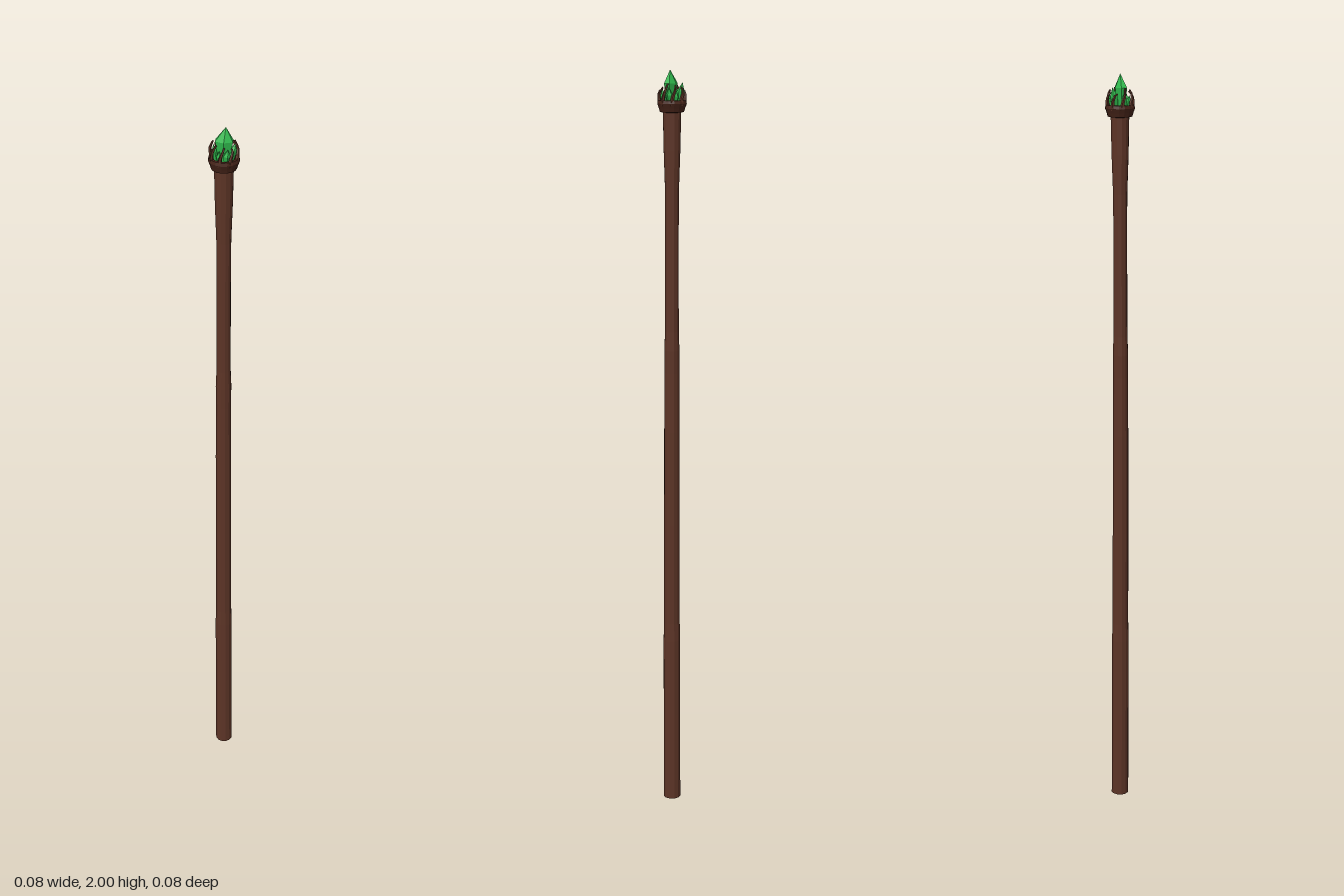
import * as THREE from 'three';

const mat = (color, side = THREE.FrontSide) => new THREE.MeshStandardMaterial({ color, flatShading: true, side });
const bark = mat(0x5c3426);
const darkBark = mat(0x452318, THREE.DoubleSide);
const gem = mat(0x2fb84c);

function add(parent, name, geometry, material) {
  const mesh = new THREE.Mesh(geometry, material);
  mesh.name = name;
  parent.add(mesh);
  return mesh;
}

const lathe = (pts, sides) => new THREE.LatheGeometry(pts.map(([r, y]) => new THREE.Vector2(r, y)), sides);

// Tube narrowing towards its end
function taperedTube(points, r0, r1, steps, sides) {
  const curve = new THREE.CatmullRomCurve3(points);
  const geo = new THREE.TubeGeometry(curve, steps, 1, sides);
  const pos = geo.attributes.position;
  const v = new THREE.Vector3();
  for (let i = 0; i <= steps; i++) {
    const c = curve.getPointAt(i / steps);
    const r = THREE.MathUtils.lerp(r0, r1, i / steps);
    for (let j = 0; j <= sides; j++) {
      const k = i * (sides + 1) + j;
      v.fromBufferAttribute(pos, k).sub(c).multiplyScalar(r).add(c);
      pos.setXYZ(k, v.x, v.y, v.z);
    }
  }
  geo.computeVertexNormals();
  return geo;
}

// Faceted shard standing on its base, with an off-centre point
function shard(radius, height, sides, lean) {
  const geo = lathe([[0, 0], [radius * 0.6, 0], [radius, height * 0.62], [0, height]], sides);
  const pos = geo.attributes.position;
  for (let i = 0; i < pos.count; i++) {
    if (pos.getY(i) > height * 0.9) pos.setX(i, lean);
  }
  geo.computeVertexNormals();
  return geo;
}

export function createModel() {
  const staff = new THREE.Group();
  staff.name = 'staff';

  // Shaft: slightly uneven wood, flaring under the head
  const shaft = lathe([
    [0, 0], [0.024, 0], [0.0235, 0.25], [0.0235, 0.47], [0.022, 0.52], [0.0215, 0.8], [0.021, 1.06],
    [0.02, 1.22], [0.0205, 1.28], [0.0185, 1.33], [0.018, 1.6], [0.0185, 1.7], [0.022, 1.8], [0.024, 1.9],
  ], 12);
  const pos = shaft.attributes.position;
  for (let i = 0; i < pos.count; i++) {
    const y = pos.getY(i);
    const bend = Math.sin(y * Math.PI / 1.9) * 0.0015;
    pos.setX(i, pos.getX(i) - bend);
    pos.setZ(i, pos.getZ(i) + bend * 0.5);
  }
  shaft.computeVertexNormals();
  add(staff, 'shaft', shaft, bark);

  // Head: open cup holding the crystals
  const head = new THREE.Group();
  head.name = 'head';
  staff.add(head);
  add(head, 'cup', lathe([
    [0.02, 1.893], [0.031, 1.895], [0.034, 1.905], [0.038, 1.916], [0.036, 1.924],
    [0.029, 1.924], [0.026, 1.912], [0, 1.91],
  ], 16), darkBark);

  // Claws curling up and inward around the rim
  const clawCount = 8;
  for (let i = 0; i < clawCount; i++) {
    const a = i / clawCount * Math.PI * 2 + 0.2;
    const top = 1.952 + 0.014 * ((i * 3) % 4) / 3;
    const at = (r, y, turn) => new THREE.Vector3(Math.sin(a + turn) * r, y, Math.cos(a + turn) * r);
    const claw = [at(0.031, 1.912, 0), at(0.033, 1.932, 0.1), at(0.033, 1.946, 0.25), at(0.025, top, 0.4)];
    add(head, 'claw', taperedTube(claw, 0.006, 0.002, 5, 5), bark);
  }

  // Tall central crystal, wide across x and thin in z
  const main = add(head, 'mainCrystal', shard(0.024, 0.09, 6, 0.004), gem);
  main.position.set(0, 1.91, 0.003);
  main.scale.z = 0.65;
  main.rotation.y = -0.3;

  // Small crystals leaning outward: angle, distance, radius, height
  const shards = [
    [3.3, 0.015, 0.010, 0.062], [4.5, 0.017, 0.008, 0.048], [0.1, 0.016, 0.009, 0.045],
    [1.5, 0.016, 0.009, 0.05], [5.5, 0.017, 0.007, 0.04], [2.3, 0.017, 0.007, 0.042],
  ];
  for (const [a, d, r, h] of shards) {
    const crystal = add(head, 'smallCrystal', shard(r, h, 5, 0.002), gem);
    crystal.position.set(Math.sin(a) * d, 1.908, Math.cos(a) * d);
    crystal.rotation.set(Math.cos(a) * 0.2, 0, -Math.sin(a) * 0.2);
  }
  return staff;
}
